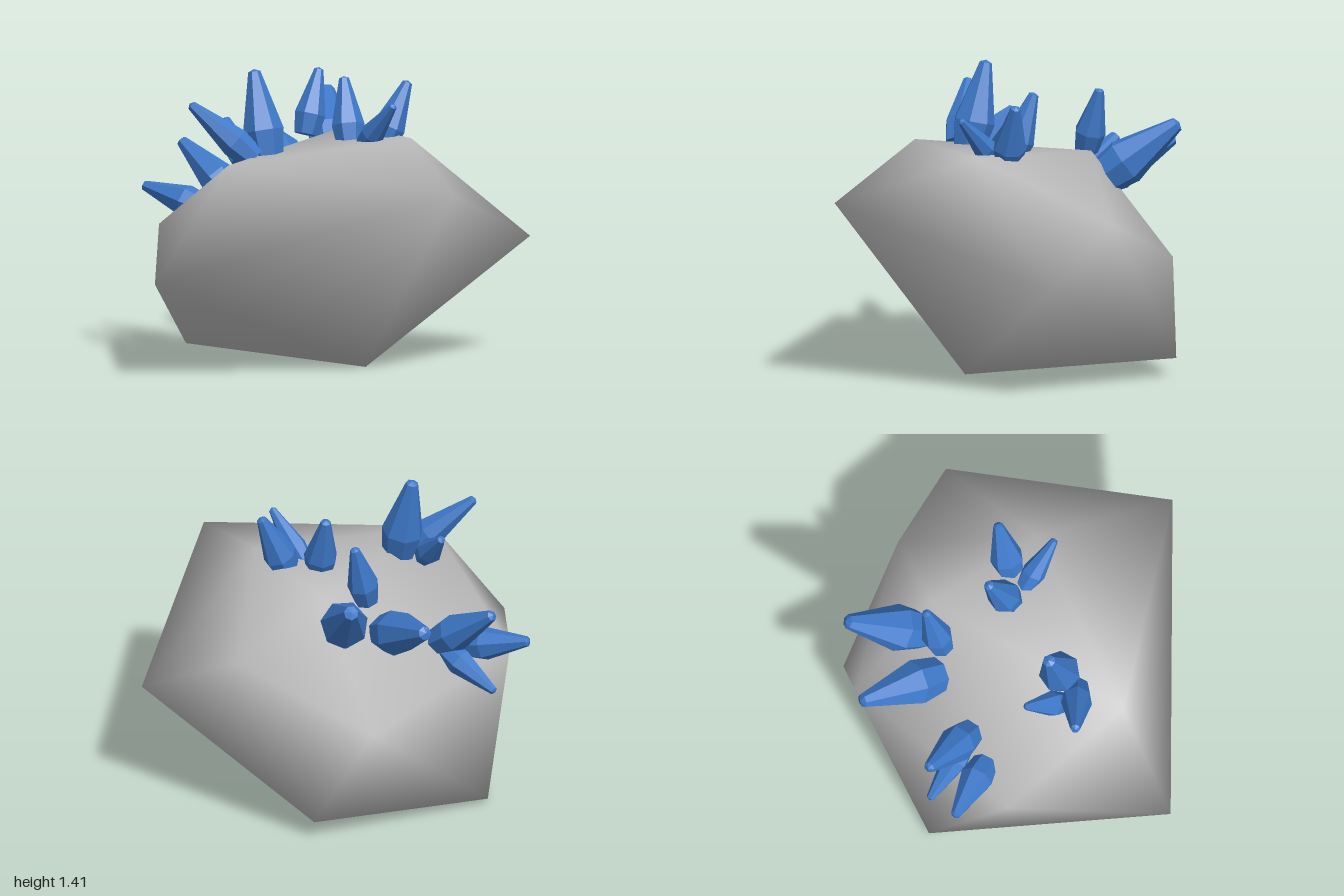
import * as THREE from 'three';

const stone = new THREE.MeshStandardMaterial({ color: 0xbababa });
stone.name = 'greyStone';
const blue = new THREE.MeshStandardMaterial({ color: 0x3d78c8 });
blue.name = 'blueCrystal';

// Boulder: a distorted icosahedron with smooth shading
function makeBoulder() {
  const corners = {
    H: [-0.6, 1.0, 0.11], L: [0.33, 1.07, -0.36], M: [0.32, 1.08, 0.24],    // top
    A: [-1, 0.46, 0.11], K: [-0.6, 0.64, -0.55], G: [0.33, 0.52, -0.79],    // middle ring
    J: [0.75, 0.8, -0.26], B: [1, 0.56, 0.18], C: [0.17, 0.9, 0.91],
    D: [0.1, 0, 0.19], E: [-0.31, 0.02, -0.8], F: [0.59, 0.09, -0.68],      // underside
  };
  const names = Object.keys(corners);
  const faces = 'HML HLK LMJ MHC HKA HAC LJG LGK MCB MBJ CAD BCD JBF GJF KGE AKE DAE EGF BDF DEF';
  const index = [...faces.replaceAll(' ', '')].map((n) => names.indexOf(n));
  const geo = new THREE.BufferGeometry();
  geo.setAttribute('position', new THREE.Float32BufferAttribute(Object.values(corners).flat(), 3));
  geo.setIndex(index);
  geo.computeVertexNormals();
  const mesh = new THREE.Mesh(geo, stone);
  mesh.name = 'boulder';
  return mesh;
}

// Crystal: seven-sided spike, swelling above its foot and tapering to a blunt tip
function makeCrystal(base, tip, radius) {
  const from = new THREE.Vector3(...base);
  const dir = new THREE.Vector3(...tip).sub(from);
  const len = dir.length();
  const profile = [[0, 0], [0.78, 0], [1, 0.3], [0.3, 0.97], [0, 1]]
    .map(([r, t]) => new THREE.Vector2(r * radius, t * len));
  const lathe = new THREE.LatheGeometry(profile, 7);
  const geo = lathe.toNonIndexed();
  geo.computeVertexNormals();
  const mesh = new THREE.Mesh(geo, blue);
  mesh.position.copy(from);
  mesh.quaternion.setFromUnitVectors(new THREE.Vector3(0, 1, 0), dir.normalize());
  mesh.name = 'crystal';
  return mesh;
}

// Each crystal: foot, tip, radius
const clusters = {
  frontLeftCrystals: [
    [[0.16, 1.03, 0.06], [0.21, 1.25, 0.27], 0.058],
    [[0.26, 1.02, 0.05], [0.4, 1.33, 0.07], 0.08],
    [[0.14, 1.02, -0.03], [0.17, 1.34, -0.14], 0.08],
  ],
  frontRightCrystals: [
    [[-0.31, 1.0, -0.03], [-0.325, 1.41, -0.13], 0.1],
    [[-0.39, 1.0, -0.01], [-0.64, 1.26, -0.19], 0.075],
    [[-0.41, 0.98, -0.1], [-0.38, 1.16, -0.3], 0.062],
  ],
  backLeftCrystals: [
    [[0.13, 1.03, -0.43], [0.22, 1.34, -0.46], 0.075],
    [[0.28, 0.92, -0.44], [0.44, 1.19, -0.77], 0.115],
    [[0.07, 0.87, -0.49], [0.11, 1.05, -0.91], 0.11],
  ],
  backRightCrystals: [
    [[-0.37, 0.7, -0.52], [-0.54, 0.79, -0.81], 0.08],
    [[-0.22, 0.75, -0.5], [-0.33, 0.99, -0.82], 0.09],
    [[-0.24, 0.72, -0.54], [-0.34, 0.58, -0.82], 0.065],
  ],
};

export function createModel() {
  const model = new THREE.Group();
  model.name = 'crystalBoulder';
  model.add(makeBoulder());
  for (const [name, list] of Object.entries(clusters)) {
    const cluster = new THREE.Group();
    cluster.name = name;
    list.forEach((c) => cluster.add(makeCrystal(...c)));
    model.add(cluster);
  }
  return model;
}
